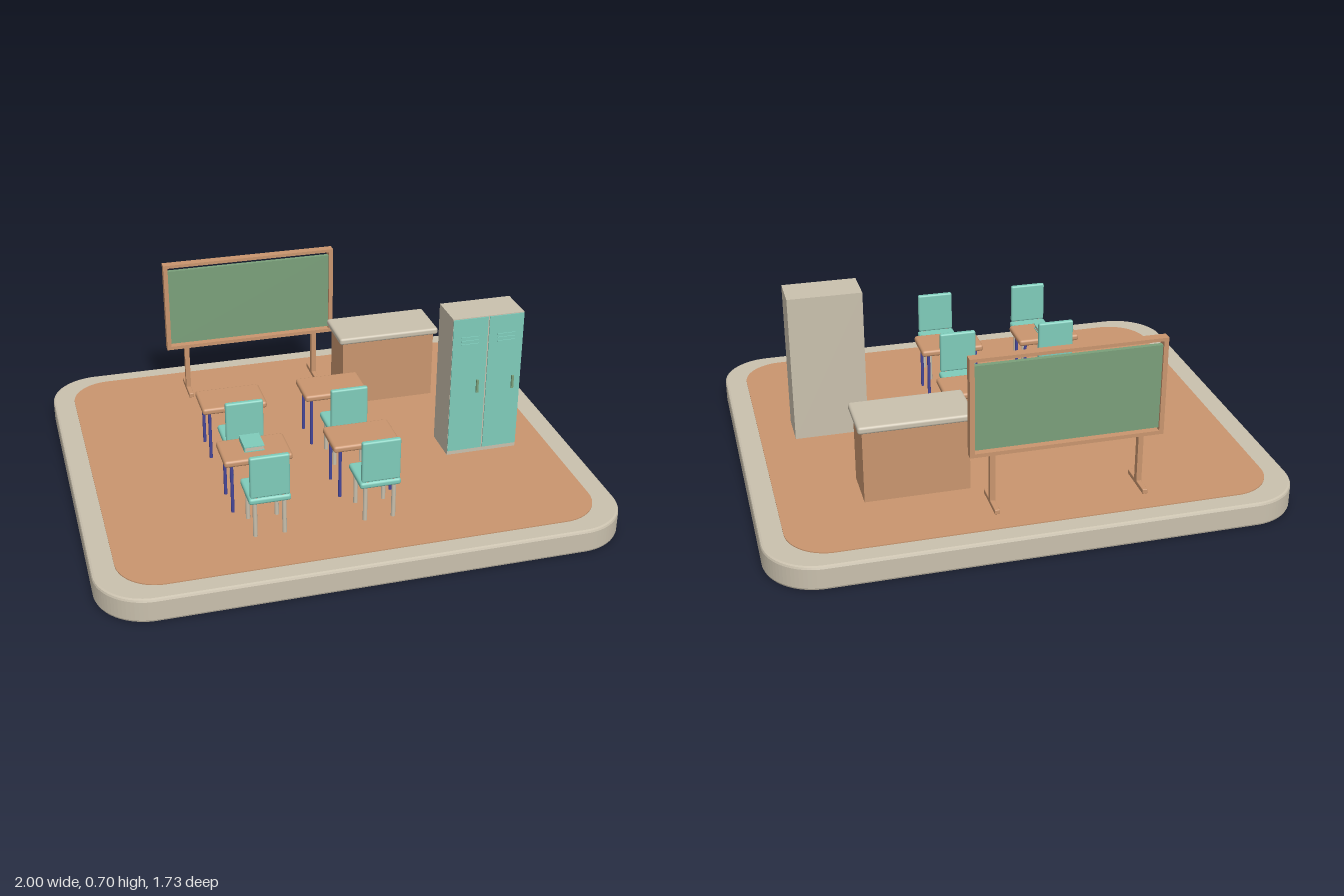
import * as THREE from 'three';
import { RoundedBoxGeometry } from 'three/addons/geometries/RoundedBoxGeometry.js';

const mat = (name, color) => {
  const m = new THREE.MeshStandardMaterial({ color });
  m.name = name;
  return m;
};

export function createModel() {
  const stone = mat('beige', 0xc9c0ad);
  const wood = mat('wood', 0xc9956e);
  const teal = mat('teal', 0x7fcbba);
  const green = mat('boardGreen', 0x7a9f7a);
  const navy = mat('navy', 0x46469a);

  const root = new THREE.Group();
  root.name = 'classroom';

  const group = (name, x = 0, z = 0) => {
    const g = new THREE.Group();
    g.name = name;
    g.position.set(x, 0, z);
    root.add(g);
    return g;
  };
  const add = (parent, name, geometry, material) => {
    const m = new THREE.Mesh(geometry, material);
    m.name = name;
    parent.add(m);
    return m;
  };
  // Boxes are given by their min and max on each axis
  const box = (parent, name, material, [x0, x1], [y0, y1], [z0, z1], radius = 0) => {
    const size = [x1 - x0, y1 - y0, z1 - z0];
    const geo = radius ? new RoundedBoxGeometry(...size, 2, radius) : new THREE.BoxGeometry(...size);
    const m = add(parent, name, geo, material);
    m.position.set((x0 + x1) / 2, (y0 + y1) / 2, (z0 + z1) / 2);
    return m;
  };
  const leg = (parent, name, material, x, z, y0, y1, r) => {
    add(parent, name, new THREE.CylinderGeometry(r, r, y1 - y0, 12), material)
      .position.set(x, (y0 + y1) / 2, z);
  };
  // Rounded slab lying flat between two heights
  const slab = (parent, name, material, hx, hz, r, y0, y1, bevel) => {
    const a = hx - bevel, b = hz - bevel, c = r - bevel;
    const s = new THREE.Shape();
    s.moveTo(-a + c, -b);
    s.lineTo(a - c, -b);
    s.absarc(a - c, -b + c, c, -Math.PI / 2, 0);
    s.lineTo(a, b - c);
    s.absarc(a - c, b - c, c, 0, Math.PI / 2);
    s.lineTo(-a + c, b);
    s.absarc(-a + c, b - c, c, Math.PI / 2, Math.PI);
    s.lineTo(-a, -b + c);
    s.absarc(-a + c, -b + c, c, Math.PI, Math.PI * 1.5);
    const geo = new THREE.ExtrudeGeometry(s, {
      depth: y1 - y0 - 2 * bevel, curveSegments: 10,
      bevelEnabled: bevel > 0, bevelSize: bevel, bevelThickness: bevel, bevelSegments: 2,
    });
    geo.translate(0, 0, bevel).rotateX(-Math.PI / 2);
    add(parent, name, geo, material).position.y = y0;
  };

  // Platform and floor
  slab(root, 'platform', stone, 1, 0.863, 0.2, 0, 0.096, 0.01);
  slab(root, 'floor', wood, 0.913, 0.786, 0.16, 0.09, 0.1, 0);

  // Standing chalkboard
  const board = group('chalkboard', -0.134, -0.617);
  const depth = [-0.018, 0.018];
  box(board, 'boardPanel', green, [-0.352, 0.352], [0.335, 0.669], [-0.009, 0.009]);
  box(board, 'frameTop', wood, [-0.368, 0.368], [0.687, 0.7], depth);
  box(board, 'frameBottom', wood, [-0.368, 0.368], [0.31, 0.325], depth);
  for (const s of [-1, 1]) {
    const bar = box(board, 'frameSide', wood, [-0.009, 0.009], [0.312, 0.698], depth);
    bar.position.x = s * 0.359;
    const x = s * 0.283;
    box(board, 'standPost', wood, [x - 0.01, x + 0.01], [0.11, 0.312], [-0.012, 0.012]);
    box(board, 'standFoot', wood, [x - 0.01, x + 0.01], [0.101, 0.12], [-0.08, 0.08], 0.003);
  }

  // Teacher's desk
  const desk = group('teacherDesk', 0.398, -0.4);
  box(desk, 'deskBody', wood, [-0.2, 0.2], [0.1, 0.392], [-0.09, 0.092]);
  box(desk, 'deskTop', stone, [-0.217, 0.217], [0.389, 0.418], [-0.108, 0.108], 0.01);

  // Locker with two doors
  const locker = group('locker', 0.631, 0);
  box(locker, 'lockerBody', stone, [-0.146, 0.146], [0.1, 0.7], [0.058, 0.213]);
  for (const s of [-1, 1]) {
    const cx = s * 0.074;
    box(locker, 'lockerDoor', teal, [cx - 0.071, cx + 0.071], [0.118, 0.697], [0.212, 0.217]);
    box(locker, 'doorHandle', green, [cx + 0.034, cx + 0.043], [0.375, 0.43], [0.216, 0.225]);
    for (const y of [0.588, 0.603, 0.618])
      box(locker, 'doorVent', teal, [cx - 0.036, cx + 0.036], [y - 0.003, y + 0.003], [0.216, 0.221]);
  }

  // Pupils' tables, each with a chair behind it
  for (const x of [-0.334, 0.084]) {
    for (const z of [-0.083, 0.334]) {
      const table = group('pupilTable', x, z);
      box(table, 'tableTop', wood, [-0.13, 0.13], [0.302, 0.329], [-0.084, 0.084], 0.01);
      for (const sx of [-1, 1]) for (const sz of [-1, 1])
        leg(table, 'tableLeg', navy, sx * 0.101, sz * 0.066, 0.1, 0.306, 0.0065);

      const chair = group('chair', x, z + 0.183);
      box(chair, 'chairSeat', teal, [-0.079, 0.079], [0.242, 0.268], [-0.08, 0.08], 0.01);
      box(chair, 'chairBack', teal, [-0.074, 0.074], [0.271, 0.438], [0.06, 0.081], 0.007);
      for (const sx of [-1, 1]) {
        leg(chair, 'backSupport', stone, sx * 0.05, 0.07, 0.26, 0.28, 0.005);
        for (const sz of [-1, 1])
          leg(chair, 'chairLeg', stone, sx * 0.055, sz * 0.062, 0.1, 0.246, 0.0085);
      }
    }
  }

  // Book on the front table
  const book = group('book', -0.338, 0.317);
  box(book, 'pages', stone, [-0.036, 0.035], [0.332, 0.347], [-0.046, 0.046]);
  box(book, 'lowerCover', teal, [-0.038, 0.038], [0.329, 0.332], [-0.049, 0.049]);
  box(book, 'upperCover', teal, [-0.038, 0.038], [0.347, 0.35], [-0.049, 0.049]);
  box(book, 'spine', teal, [-0.039, -0.036], [0.329, 0.35], [-0.049, 0.049]);

  return root;
}
